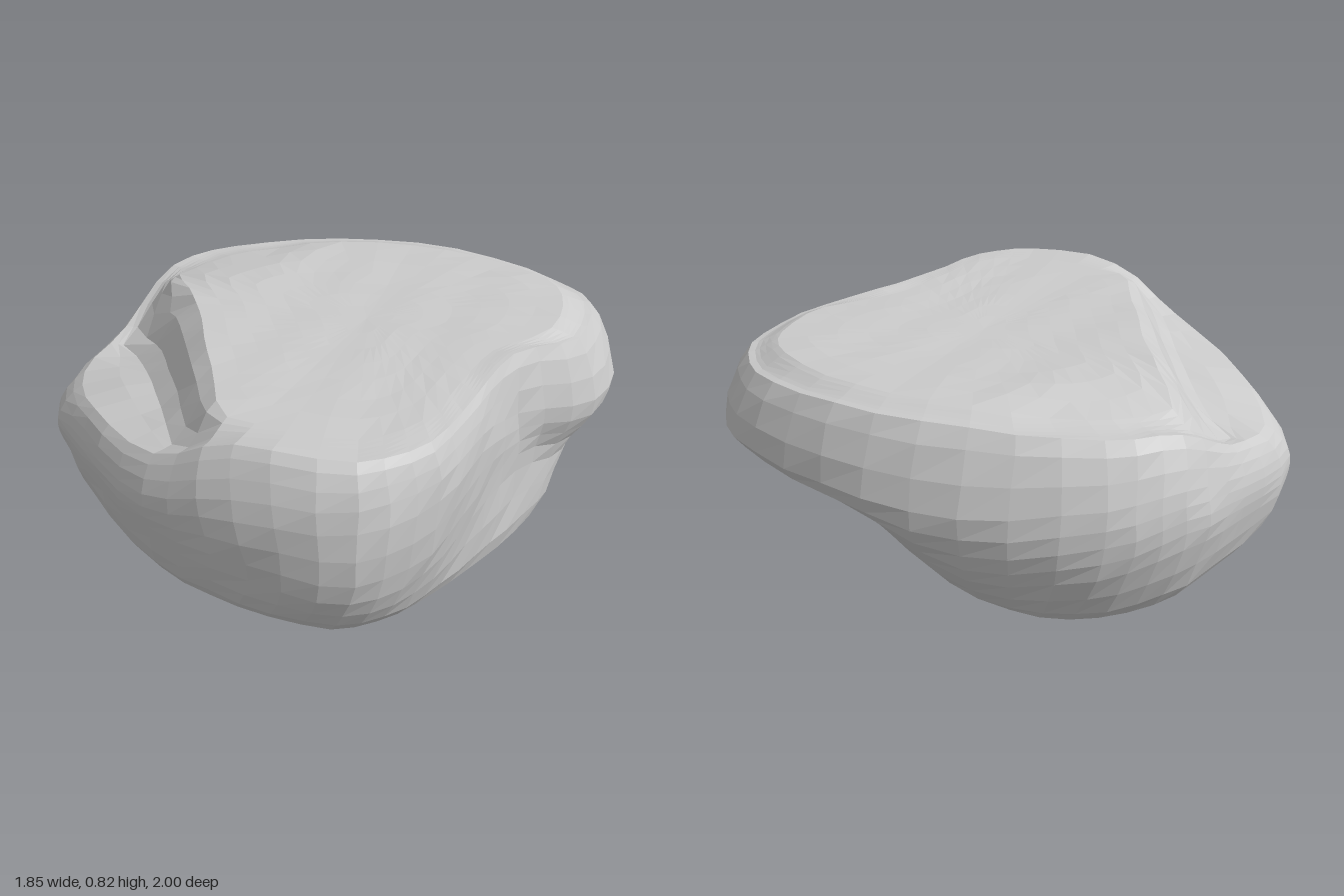
import * as THREE from 'three';

const STATIONS = 48;
const WALL_ROWS = 11;
const { smoothstep, lerp } = THREE.MathUtils;

// Flat list of x, y, z -> points of a closed ring, all rings starting at the back right
const ring = (n) => Array.from({ length: n.length / 3 }, (_, i) => new THREE.Vector3(...n.slice(i * 3, i * 3 + 3)));

// Edge of the underside
const base = ring([
  .72, .06, -.44, .76, .03, -.17, .77, .02, .1, .785, .05, .38, .74, .12, .65, .48, .155, .84,
  .15, .16, .92, -.3, .16, .88, -.65, .11, .73, -.73, .03, .42, -.78, .02, .1, -.68, .01, -.2,
  -.42, .01, -.4, 0, 0, -.44, .35, 0, -.45, .58, .01, -.45]);
// Lower wall, hollowed out below the overhanging back lobe
const undercut = ring([
  .73, .3, -.56, .755, .38, -.24, .82, .36, .06, .895, .32, .37, .86, .34, .67, .59, .38, .87,
  .19, .37, .98, -.3, .36, .93, -.69, .3, .8, -.82, .31, .45, -.92, .36, .1, -.84, .3, -.2,
  -.52, .22, -.53, -.09, .35, -.73, .35, .38, -.74, .62, .33, -.74]);
// Widest part
const belly = ring([
  .82, .51, -.59, .76, .58, -.22, .83, .66, .05, .92, .67, .35, .865, .66, .65, .54, .64, .885,
  .19, .52, .99, -.3, .46, .93, -.68, .41, .8, -.81, .45, .46, -.91, .54, .1, -.85, .52, -.18,
  -.56, .46, -.58, -.12, .48, -.87, .36, .48, -1, .65, .48, -.92]);
// Edge of the upper face, dropping to a ledge at the front left
const rim = ring([
  .73, .77, -.56, .7, .82, -.23, .78, .81, .05, .87, .81, .35, .8, .81, .6, .47, .8, .81,
  .16, .65, .91, -.3, .58, .86, -.63, .52, .71, -.75, .57, .43, -.82, .725, .14, -.75, .75, -.13,
  -.48, .77, -.48, -.08, .77, -.78, .35, .75, -.9, .57, .76, -.83]);

// Underside: flat, curving up toward the front
const bottomHeight = (x, z) => 0.2 * Math.pow(Math.max(0, z - 0.05), 1.7);

// Position across the diagonal slope: 0 at its curved crest, 1 at its foot
function acrossSlope(x, z) {
  const u = 0.62 * (x + 0.57);
  const crest = 0.19 + 0.5 * (u + Math.sqrt(u * u + 0.02));
  return (z - crest) / (0.2 - 0.1 * x);
}

// Upper face: shallow dished plateau with the slope down to the ledge
function topHeight(x, z) {
  const plateau = 0.812 - 0.2 * Math.max(0, -0.42 - x) - 0.012 * Math.exp(-5 * (x * x + z * z));
  const ledge = Math.min(plateau, 0.635 + 0.15 * x);
  return lerp(plateau, ledge, smoothstep(acrossSlope(x, z), 0, 1));
}

// Edge point drawn in toward a centre, eased onto a height function
function inset(p, f, cx, cz, height) {
  const x = lerp(cx, p.x, f), z = lerp(cz, p.z, f);
  return new THREE.Vector3(x, lerp(p.y, height(x, z), smoothstep(1 - f, 0, 0.16)), z);
}

// Upper rows of a column, placed so that rows run along the foot and crest of the slope
function topColumn(p) {
  const cx = 0.15, cz = -0.05;
  const reach = (t) => {
    let low = 0, high = 1;
    for (let k = 0; k < 16; k++) {
      const f = (low + high) / 2;
      if (acrossSlope(lerp(cx, p.x, f), lerp(cz, p.z, f)) < t) low = f;
      else high = f;
    }
    return high;
  };
  const foot = Math.min(0.95, reach(1));
  const crest = Math.min(0.87, reach(0));
  const fractions = [lerp(foot, 1, 0.4), foot, lerp(foot, crest, 0.33), lerp(foot, crest, 0.67)];
  for (let k = 7; k >= 0; k--) fractions.push(crest * k / 7);
  return fractions.map((f) => inset(p, f, cx, cz, topHeight));
}

// Slight unevenness of the stone
function roughen(p) {
  const { x, y, z } = p;
  p.x += 0.004 * Math.sin(21 * z) * Math.sin(19 * y);
  p.z += 0.004 * Math.sin(19 * x) * Math.sin(21 * y);
  p.y = Math.max(0, y + 0.004 * Math.sin(16 * x + 5 * z) * Math.sin(14 * z - 4 * x));
  return p;
}

function boulderGeometry() {
  const curves = [base, undercut, belly, rim].map((r) => new THREE.CatmullRomCurve3(r, true, 'centripetal'));
  const underSteps = [0, 0.15, 0.3, 0.45, 0.6, 0.75, 0.88];

  // One column of points per station, from the underside centre to the top centre
  const columns = Array.from({ length: STATIONS }, (_, i) => {
    const keys = curves.map((c) => c.getPoint(i / STATIONS));
    const under = underSteps.map((f) => inset(keys[0], f, 0.05, 0.15, bottomHeight));
    const over = topColumn(keys[3]);
    const wall = new THREE.CatmullRomCurve3([under[under.length - 1], ...keys, over[1]], false, 'centripetal');
    const side = Array.from({ length: WALL_ROWS }, (_, k) => wall.getPoint(lerp(0.2, 0.8, k / (WALL_ROWS - 1))));
    return [...under, ...side, ...over].map(roughen);
  });

  // Skin the columns, skipping collapsed triangles at the two centres
  const positions = [];
  const rows = columns[0].length;
  const triangle = (a, b, c) => [a, b, c].forEach((p) => positions.push(p.x, p.y, p.z));
  columns.forEach((col, i) => {
    const next = columns[(i + 1) % STATIONS];
    for (let r = 0; r < rows - 1; r++) {
      if (r > 0) triangle(col[r], col[r + 1], next[r]);
      if (r < rows - 2) triangle(next[r], col[r + 1], next[r + 1]);
    }
  });

  const geometry = new THREE.BufferGeometry();
  geometry.setAttribute('position', new THREE.Float32BufferAttribute(positions, 3));
  geometry.computeVertexNormals();
  return geometry;
}

export function createModel() {
  const group = new THREE.Group();
  group.name = 'rock';
  const material = new THREE.MeshStandardMaterial({ color: 0xcccccc, flatShading: true });
  const boulder = new THREE.Mesh(boulderGeometry(), material);
  boulder.name = 'boulder';
  group.add(boulder);
  return group;
}
